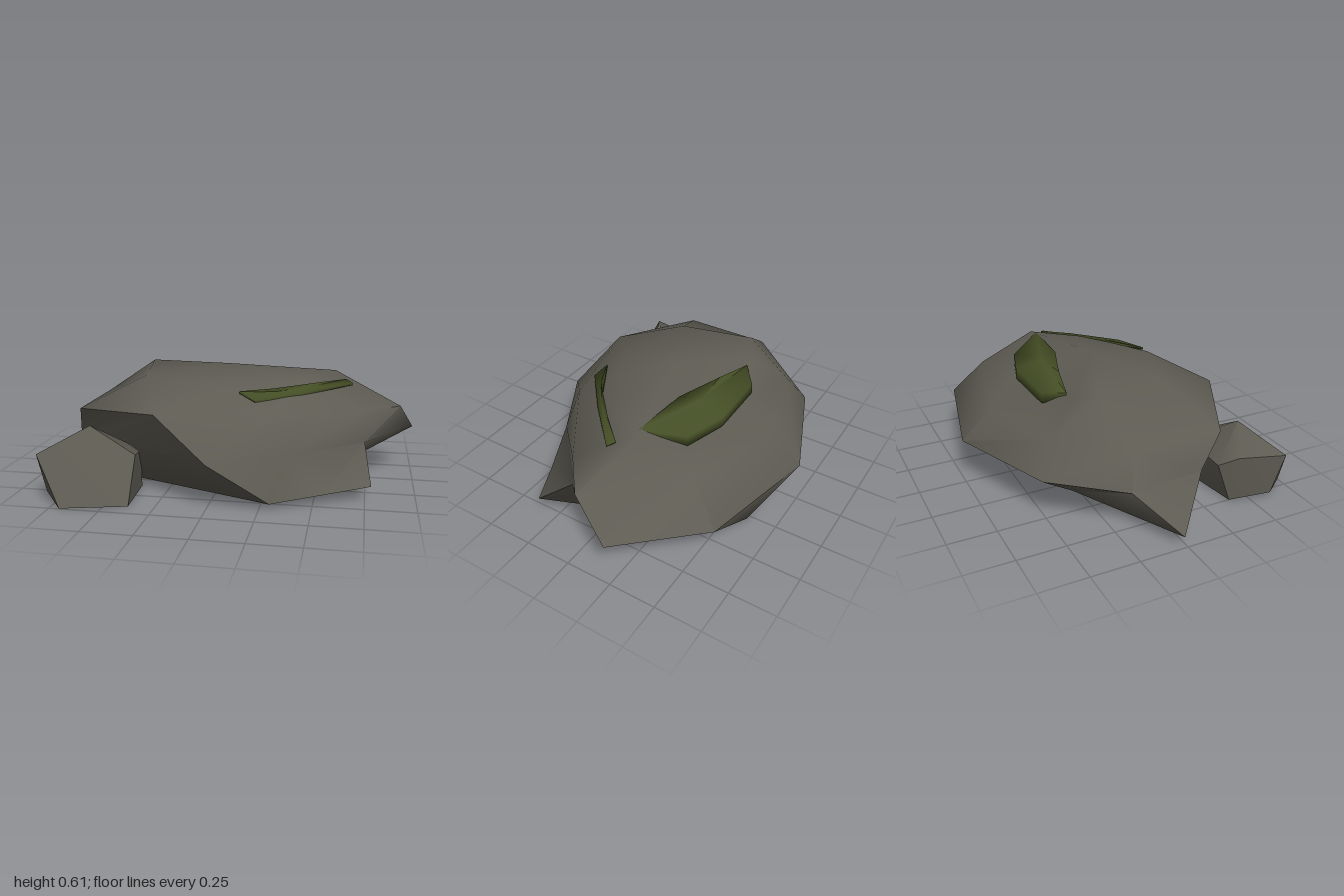
import * as THREE from 'three';
import { toCreasedNormals } from 'three/addons/utils/BufferGeometryUtils.js';
import { ConvexGeometry } from 'three/addons/geometries/ConvexGeometry.js';

const stone = new THREE.MeshStandardMaterial({ color: 0x5d5b52, side: THREE.DoubleSide });
stone.name = 'grey stone';
const moss = new THREE.MeshStandardMaterial({ color: 0x465026, side: THREE.DoubleSide });
moss.name = 'green moss';

const distance = (p, q) => Math.hypot(p[0] - q[0], p[1] - q[1], p[2] - q[2]);

// Skin a stack of rings (bottom to top, each running from +x towards +z), close it with
// end points, and split every quad along its shorter diagonal
function loft(rings, crease, top, bottom) {
  const n = rings[0].length;
  const all = [...rings, Array(n).fill(top)];
  if (bottom) all.unshift(Array(n).fill(bottom));
  const pos = [];
  const tri = (p, q, r) => { if (p !== q && q !== r && r !== p) pos.push(...p, ...q, ...r); };
  for (let k = 0; k < all.length - 1; k++) {
    for (let i = 0; i < n; i++) {
      const j = (i + 1) % n;
      const a = all[k][i], b = all[k + 1][i], c = all[k + 1][j], d = all[k][j];
      if (distance(a, c) < distance(b, d)) {
        tri(a, b, c);
        tri(a, c, d);
      } else {
        tri(a, b, d);
        tri(b, c, d);
      }
    }
  }
  const g = new THREE.BufferGeometry();
  g.setAttribute('position', new THREE.Float32BufferAttribute(pos, 3));
  return toCreasedNormals(g, crease);
}

// Thin soft patch: an outline dropped by its thickness and closed above and below
function patch(outline, centre, thickness) {
  const drop = ([x, y, z]) => [x, y - thickness, z];
  return loft([outline.map(drop), outline], 2, centre, drop(centre));
}

function add(group, name, geometry, material) {
  const mesh = new THREE.Mesh(geometry, material);
  mesh.name = name;
  group.add(mesh);
}

export function createModel() {
  const group = new THREE.Group();
  group.name = 'mossyBoulder';

  // Boulder: nine-sided rings, open underneath
  const base = [[0.49, 0, -0.05], [0.49, 0, 0.17], [0.35, 0, 0.19], [0.2, 0, 0.21], [-0.16, 0, 0.25],
    [-0.52, 0, -0.06], [-0.3, 0, -0.2], [-0.02, 0, -0.37], [0.48, 0, -0.25]];
  const foot = [[0.66, 0.095, -0.01], [0.78, 0.07, 0.36], [0.54, 0.05, 0.475], [0.3, 0.03, 0.59],
    [-0.5, 0.02, 0.25], [-1, 0.06, -0.02], [-0.37, 0.03, -0.3], [0.3, 0.03, -0.61], [0.62, 0.05, -0.36]];
  const waist = [[1, 0.24, -0.23], [0.74, 0.24, 0.15], [0.39, 0.24, 0.47], [0.01, 0.24, 0.69],
    [-0.78, 0.24, 0.2], [-0.82, 0.24, -0.2], [-0.55, 0.24, -0.53], [0.01, 0.24, -0.75], [0.65, 0.24, -0.61]];
  const shoulder = [[0.92, 0.4, -0.02], [0.72, 0.4, 0.15], [0.3, 0.44, 0.43], [-0.27, 0.44, 0.57],
    [-0.73, 0.4, 0.33], [-0.73, 0.4, -0.15], [-0.45, 0.4, -0.45], [0, 0.4, -0.59], [0.56, 0.425, -0.45]];
  const crown = [[0.57, 0.56, -0.14], [0.4, 0.55, 0.1], [0.2, 0.55, 0.23], [0, 0.555, 0.33],
    [-0.4, 0.565, 0.2], [-0.47, 0.578, -0.2], [-0.35, 0.53, -0.29], [-0.02, 0.46, -0.34], [0.36, 0.455, -0.28]];
  add(group, 'boulder', loft([base, foot, waist, shoulder, crown], 1.15, [0.01, 0.605, 0]), stone);

  // Small stone at the front corner
  const corners = [[-0.61, 0.36, 0.52], [-0.84, 0.24, 0.66], [-0.7, 0, 0.745], [-0.38, 0, 0.66],
    [-0.38, 0.22, 0.52], [-0.82, 0.03, 0.6], [-0.78, 0.25, 0.42], [-0.72, 0.2, 0.34],
    [-0.4, 0.2, 0.35], [-0.4, 0, 0.35], [-0.75, 0, 0.4]];
  const pebble = new ConvexGeometry(corners.map(p => new THREE.Vector3(...p)));
  add(group, 'smallStone', toCreasedNormals(pebble, 0.75), stone);

  // Broad moss patch on the back of the top
  add(group, 'backMoss', patch([[0.535, 0.565, -0.12], [0.2, 0.56, -0.14], [-0.06, 0.56, -0.23],
    [-0.27, 0.535, -0.28], [-0.16, 0.505, -0.37], [0.18, 0.51, -0.38], [0.4, 0.505, -0.31]],
  [0.15, 0.55, -0.24], 0.055), moss);

  // Thin moss ledge along the front shoulder, its upper face leaning outwards
  add(group, 'frontMoss', patch([[0.665, 0.515, -0.02], [0.42, 0.5, 0.215], [0.2, 0.495, 0.4],
    [0.12, 0.53, 0.37], [0.28, 0.535, 0.295], [0.5, 0.535, 0.09], [0.63, 0.53, -0.05]],
  [0.4, 0.518, 0.205], 0.012), moss);

  return group;
}
